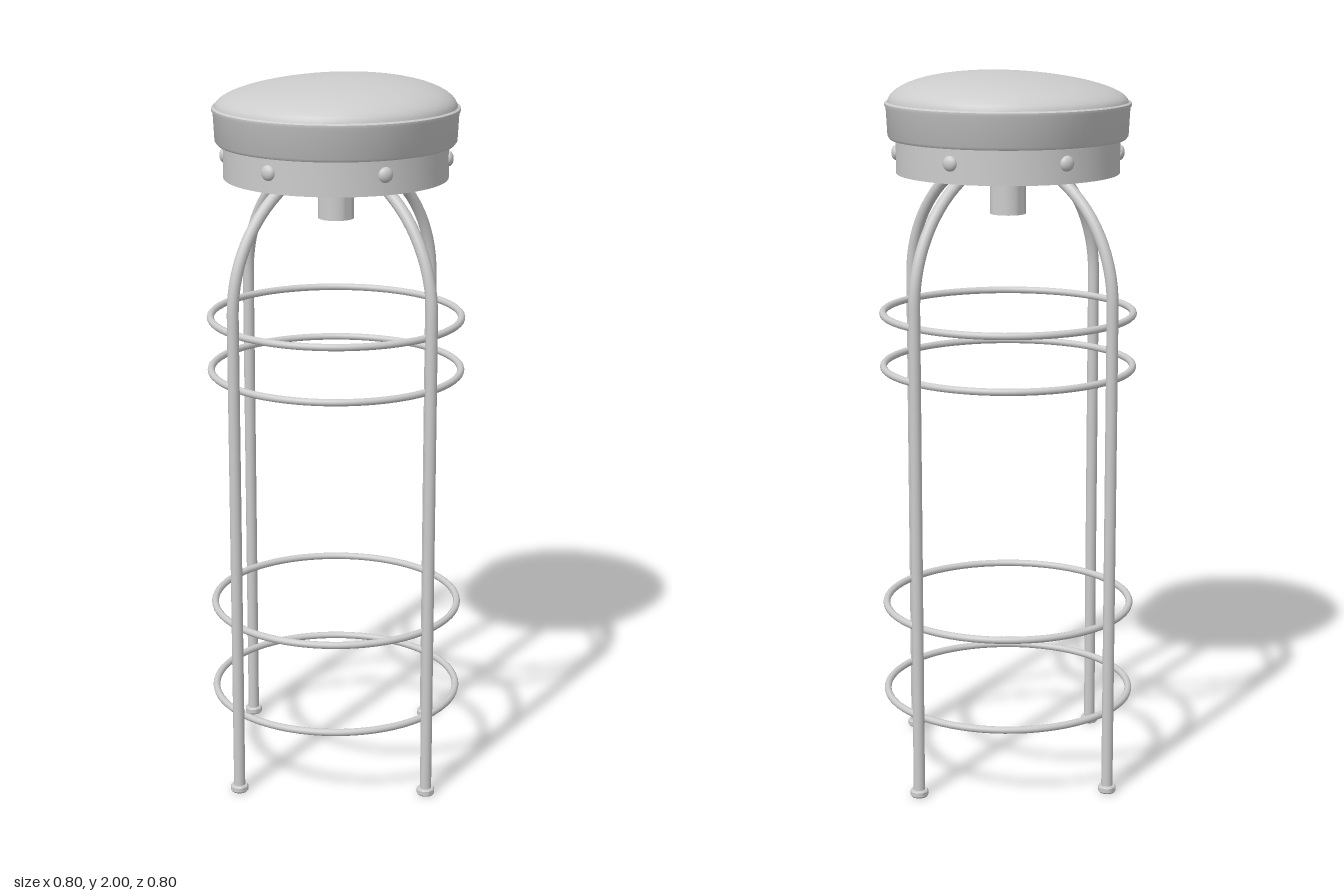
import * as THREE from 'three';
import { toCreasedNormals, mergeVertices } from 'three/addons/utils/BufferGeometryUtils.js';

const metal = new THREE.MeshStandardMaterial({ color: 0xcccccc });
metal.name = 'light grey';

const LEG_R = 0.375;   // distance of the legs from the axis
const ARCH_Y = 1.395;  // height where the legs start to bend

function add(parent, name, geometry, x = 0, y = 0, z = 0) {
  const mesh = new THREE.Mesh(geometry, metal);
  mesh.name = name;
  mesh.position.set(x, y, z);
  parent.add(mesh);
  return mesh;
}

// Turned part with sharp corners; the profile runs upwards on the outside
function turned(points, segments = 64) {
  const profile = points.map(([r, y]) => new THREE.Vector2(r, y));
  return toCreasedNormals(new THREE.LatheGeometry(profile, segments), 0.6);
}

// Domed cushion, slightly fuller towards the left and the back
function cushionGeometry() {
  const R = 0.33;
  const profile = [];
  for (let i = 0; i <= 16; i++) {
    const a = (i / 16) * Math.PI / 2;
    profile.push(new THREE.Vector2(R * Math.cos(a), Math.sin(a)));
  }
  let geo = new THREE.LatheGeometry(profile, 64);
  const p = geo.attributes.position;
  for (let i = 0; i < p.count; i++) {
    const lean = 1 + 0.1 * (p.getX(i) - p.getZ(i)) / R;
    p.setY(i, 0.084 * p.getY(i) * lean);
  }
  geo.deleteAttribute('uv');
  geo.deleteAttribute('normal');
  geo = mergeVertices(geo, 1e-5);
  geo.computeVertexNormals();
  return geo;
}

// One pair of opposite legs joined by a half-circle arch
function archGeometry() {
  const path = new THREE.CurvePath();
  const V = (x, y) => new THREE.Vector3(x, y, 0);
  const k = LEG_R * 0.5523;
  const top = ARCH_Y + LEG_R;
  path.add(new THREE.LineCurve3(V(-LEG_R, 0.01), V(-LEG_R, ARCH_Y)));
  path.add(new THREE.CubicBezierCurve3(V(-LEG_R, ARCH_Y), V(-LEG_R, ARCH_Y + k), V(-k, top), V(0, top)));
  path.add(new THREE.CubicBezierCurve3(V(0, top), V(k, top), V(LEG_R, ARCH_Y + k), V(LEG_R, ARCH_Y)));
  path.add(new THREE.LineCurve3(V(LEG_R, ARCH_Y), V(LEG_R, 0.01)));
  return new THREE.TubeGeometry(path, 140, 0.016, 16, false);
}

export function createModel() {
  const stool = new THREE.Group();
  stool.name = 'barStool';

  // Seat: cushion, band and hollow skirt
  const seat = new THREE.Group();
  seat.name = 'seat';
  stool.add(seat);
  add(seat, 'cushion', cushionGeometry(), 0, 1.915, 0);
  add(seat, 'seatBand', turned([
    [0, 1.805], [0.3, 1.805], [0.3, 1.818], [0.324, 1.818], [0.33, 1.826],
    [0.334, 1.9], [0.338, 1.908], [0.338, 1.915], [0.332, 1.919], [0.326, 1.915], [0, 1.915],
  ]));
  add(seat, 'seatSkirt', turned([
    [0.3, 1.82], [0.3, 1.724], [0.308, 1.724], [0.308, 1.82],
  ]));

  // Rivets around the skirt
  for (let i = 0; i < 6; i++) {
    const a = THREE.MathUtils.degToRad(12 + 60 * i);
    const rivet = add(seat, 'rivet', new THREE.SphereGeometry(0.021, 20, 14),
      0.307 * Math.sin(a), 1.778, 0.307 * Math.cos(a));
    rivet.rotation.y = a;
    rivet.scale.z = 0.65;
  }

  // Hollow hub under the seat
  add(stool, 'hub', turned([
    [0, 1.68], [0.042, 1.68], [0.042, 1.61], [0.05, 1.61], [0.05, 1.81],
  ], 32));

  // Legs, two crossing arches
  const arch = archGeometry();
  add(stool, 'legArch', arch);
  add(stool, 'legArch', arch).rotation.y = Math.PI / 2;

  // Feet
  const foot = turned([
    [0, 0], [0.022, 0], [0.025, 0.004], [0.025, 0.016], [0.022, 0.02], [0, 0.02],
  ], 24);
  for (let i = 0; i < 4; i++) {
    const a = i * Math.PI / 2;
    add(stool, 'foot', foot, LEG_R * Math.cos(a), 0, LEG_R * Math.sin(a));
  }

  // Foot rings
  const ring = new THREE.TorusGeometry(0.35, 0.01, 12, 72).rotateX(Math.PI / 2);
  for (const y of [0.225, 0.487, 1.182, 1.333]) add(stool, 'footRing', ring, 0, y, 0);

  return stool;
}
